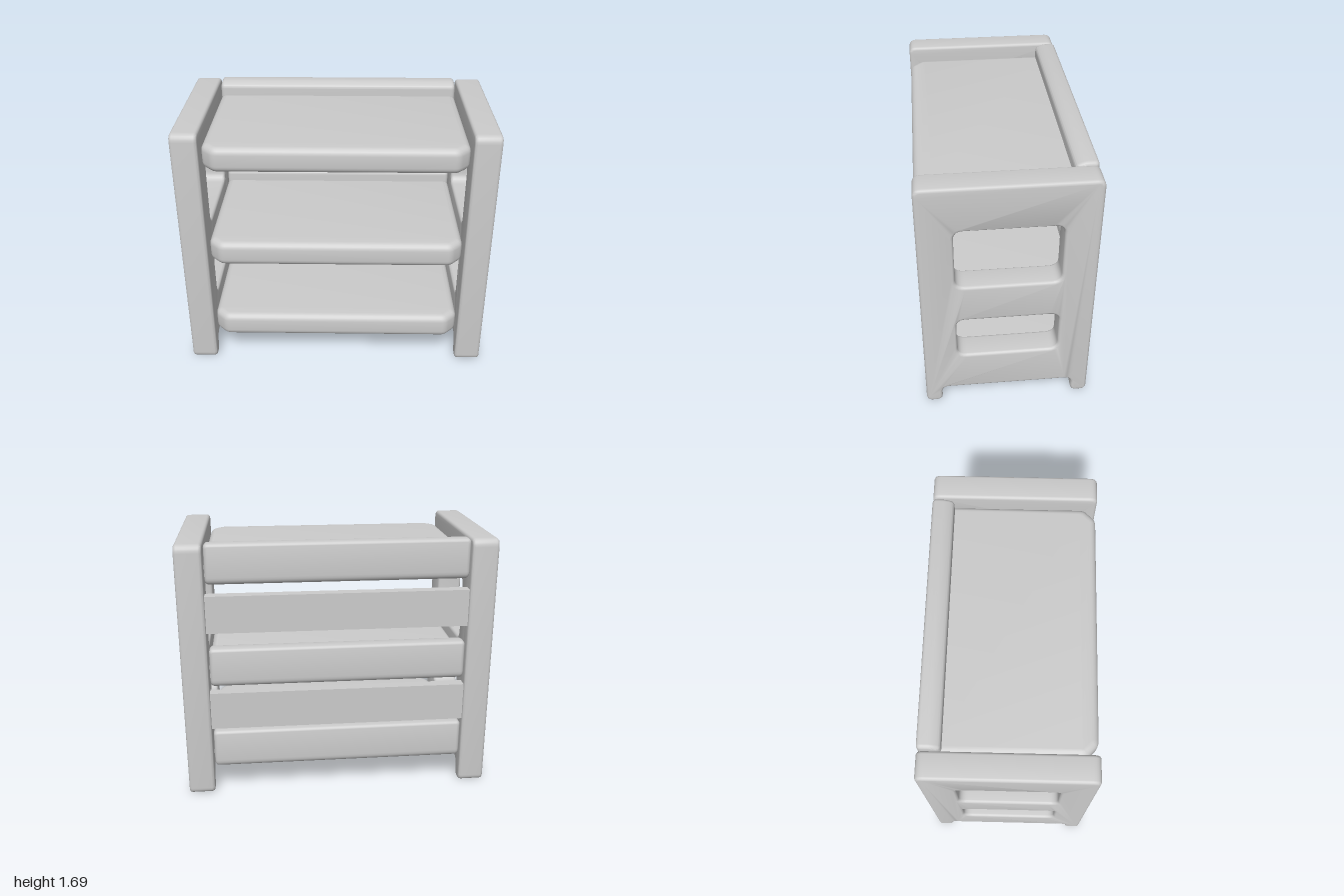
import * as THREE from 'three';
import { toCreasedNormals } from 'three/addons/utils/BufferGeometryUtils.js';

const grey = new THREE.MeshStandardMaterial({ color: 0xcccccc });

// Closed path through points [x, y, cornerRadius]
function roundedPath(points, Type = THREE.Shape) {
  const path = new Type();
  const n = points.length;
  points.forEach(([x, y, r = 0], i) => {
    const p = new THREE.Vector2(x, y);
    const toward = (q) => new THREE.Vector2(q[0], q[1]).sub(p).setLength(r).add(p);
    const a = toward(points[(i + n - 1) % n]);
    const b = toward(points[(i + 1) % n]);
    if (i === 0) path.moveTo(a.x, a.y);
    else path.lineTo(a.x, a.y);
    if (r > 0) path.quadraticCurveTo(x, y, b.x, b.y);
  });
  path.closePath();
  return path;
}

// Soft-edged extrusion centred on its own depth; the outline is the outer limit
function softExtrude(shape, depth, bevel, segments = 4) {
  const geo = new THREE.ExtrudeGeometry(shape, {
    depth: depth - 2 * bevel, bevelThickness: bevel, bevelSize: bevel,
    bevelOffset: -bevel, bevelSegments: segments, curveSegments: 6,
  });
  geo.translate(0, 0, -(depth - 2 * bevel) / 2);
  return geo;
}

function addMesh(parent, name, geo, x = 0, y = 0, z = 0) {
  const mesh = new THREE.Mesh(toCreasedNormals(geo, 0.6), grey);
  mesh.name = name;
  mesh.position.set(x, y, z);
  parent.add(mesh);
  return mesh;
}

export function createModel() {
  const model = new THREE.Group();
  model.name = 'shelfUnit';

  // Side panels with two windows and an arched gap between the feet
  const side = roundedPath([
    [-0.53, 0, 0.04], [-0.425, 0, 0.04], [-0.425, 0.12, 0.05],
    [0.425, 0.12, 0.05], [0.425, 0, 0.04], [0.53, 0, 0.04],
    [0.53, 1.685, 0.05], [-0.53, 1.685, 0.05],
  ]);
  for (const [y0, y1] of [[0.41, 0.71], [0.975, 1.39]]) {
    side.holes.push(roundedPath([
      [-0.318, y0, 0.06], [-0.318, y1, 0.06], [0.318, y1, 0.06], [0.318, y0, 0.06],
    ], THREE.Path));
  }
  const sideGeo = softExtrude(side, 0.17, 0.02).rotateY(Math.PI / 2);
  addMesh(model, 'leftSidePanel', sideGeo, 0.915);
  addMesh(model, 'rightSidePanel', sideGeo, -0.915);

  // Shelf board: plan outline with cut front corners and a rounded rim
  const board = roundedPath([
    [-0.825, -0.46], [0.825, -0.46], [0.825, 0.45, 0.03], [0.75, 0.525, 0.03],
    [-0.75, 0.525, 0.03], [-0.825, 0.45, 0.03],
  ]);
  const boardGeo = softExtrude(board, 0.165, 0.045, 5).rotateX(Math.PI / 2);

  // Back rail: cross-section runs along x, taller than the board
  const rail = roundedPath([
    [0.53, 0.002, 0.05], [0.53, 0.26, 0.03], [0.44, 0.26, 0.03],
    [0.39, 0.235, 0.02], [0.39, 0.002],
  ]);
  const railGeo = softExtrude(rail, 1.64, 0.025).rotateY(Math.PI / 2);

  [0.19, 0.76, 1.43].forEach((y, i) => {
    const shelf = new THREE.Group();
    shelf.name = ['bottomShelf', 'middleShelf', 'topShelf'][i];
    shelf.position.y = y;
    addMesh(shelf, 'shelfBoard', boardGeo, 0, 0.0825, 0);
    addMesh(shelf, 'backRail', railGeo);
    model.add(shelf);
  });

  // Flat slats across the back between the shelves
  for (const [name, y0, y1] of [['lowerSlat', 0.465, 0.713], ['upperSlat', 1.12, 1.36]]) {
    addMesh(model, name, new THREE.BoxGeometry(1.68, y1 - y0, 0.07), 0, (y0 + y1) / 2, -0.475);
  }

  return model;
}
